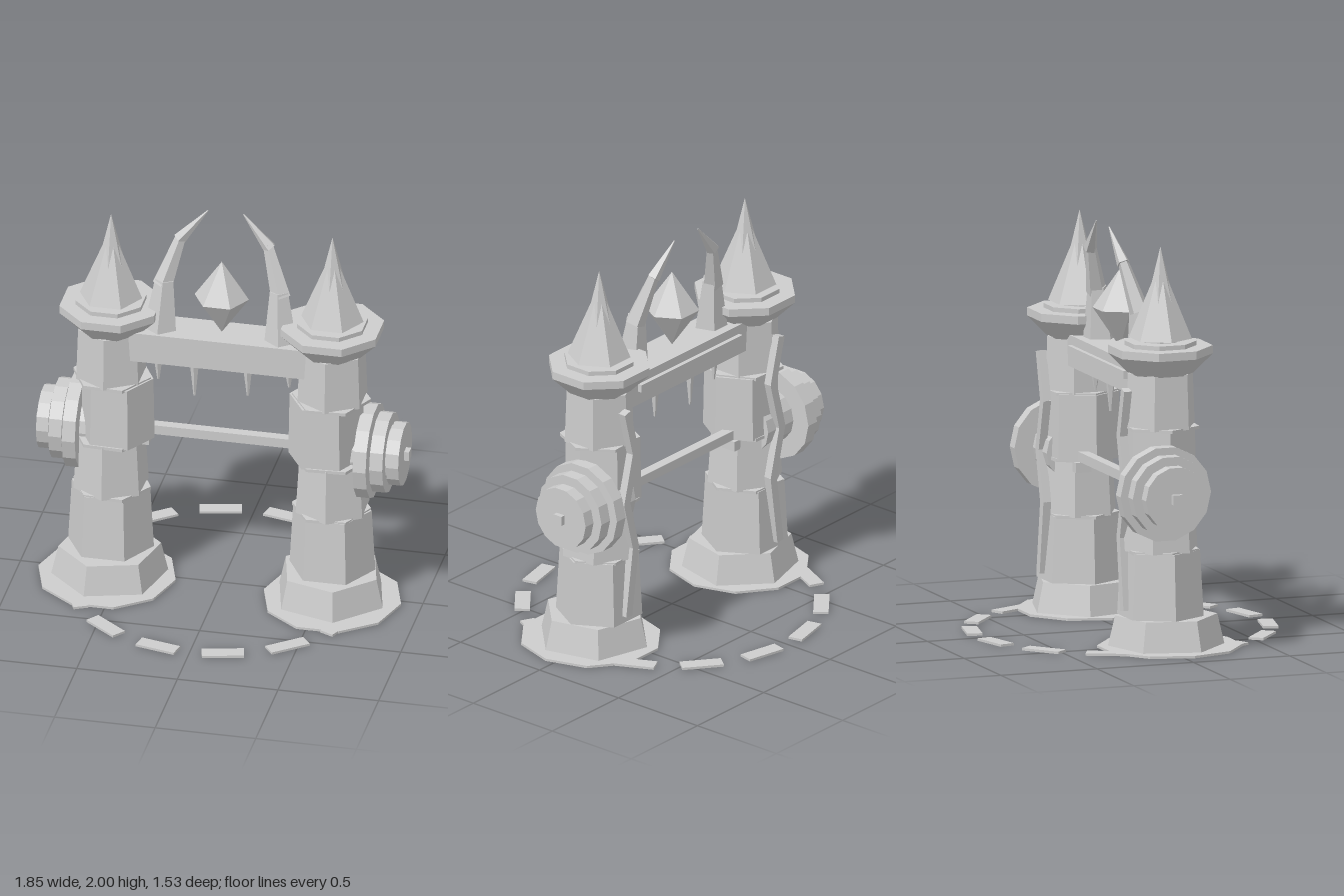
import * as THREE from 'three';

const stone = new THREE.MeshStandardMaterial({ color: 0xcccccc, flatShading: true });
stone.name = 'stone grey';

const rad = THREE.MathUtils.degToRad;

export function createModel() {
  const model = new THREE.Group();
  model.name = 'gate';

  function add(parent, name, geometry, x = 0, y = 0, z = 0) {
    const mesh = new THREE.Mesh(geometry, stone);
    mesh.name = name;
    mesh.position.set(x, y, z);
    parent.add(mesh);
    return mesh;
  }

  // Upright prism between two heights; angle is the direction of one corner from +x towards +z
  function prism(parent, name, sides, angle, x, z, y0, r0, y1, r1) {
    const g = new THREE.CylinderGeometry(r1, r0, y1 - y0, sides, 1, false, Math.PI / 2 - rad(angle));
    return add(parent, name, g, x, (y0 + y1) / 2, z);
  }

  // Tapered piece running from point a to point b
  function taper(parent, name, a, b, ra, rb, sides) {
    const from = new THREE.Vector3(...a), to = new THREE.Vector3(...b);
    const dir = to.clone().sub(from);
    const mesh = add(parent, name, new THREE.CylinderGeometry(rb, ra, dir.length(), sides));
    mesh.position.copy(from).add(to).multiplyScalar(0.5);
    mesh.quaternion.setFromUnitVectors(new THREE.Vector3(0, 1, 0), dir.normalize());
    return mesh;
  }

  for (const s of [-1, 1]) {
    const cx = s * 0.55;
    const turn = a => (s < 0 ? a : 180 - a);
    const tower = new THREE.Group();
    tower.name = s > 0 ? 'leftTower' : 'rightTower';
    model.add(tower);

    // Ground slab and flared foot
    prism(tower, 'groundDisc', 10, 0, s * 0.56, 0.045, 0, 0.355, 0.012, 0.355).scale.x = 0.96;
    prism(tower, 'foot', 6, turn(104), cx, 0.03, 0.01, 0.285, 0.16, 0.25);

    // Stacked shaft blocks, each turned against the next
    const blocks = [
      [0, 0, 0.16, 0.213, 0.485, 0.195],
      [32, 0, 0.485, 0.19, 0.765, 0.172],
      [2, 0.03, 0.765, 0.188, 1.09, 0.182],
      [30, 0, 1.09, 0.178, 1.36, 0.168],
    ];
    for (const [a, inward, y0, r0, y1, r1] of blocks) {
      prism(tower, 'shaftBlock', 6, turn(a), cx - s * inward, 0, y0, r0, y1, r1);
    }
    for (const y of [0.485, 0.765, 1.09]) {
      prism(tower, 'collar', 6, turn(3), cx - s * 0.005, 0, y - 0.008, 0.195, y + 0.008, 0.195);
    }

    // Eight-sided capital
    prism(tower, 'capital', 8, 22.5, cx, 0, 1.355, 0.16, 1.45, 0.255);
    prism(tower, 'capitalRim', 8, 22.5, cx, 0, 1.45, 0.255, 1.49, 0.255);
    prism(tower, 'capitalTop', 8, 22.5, cx, 0, 1.49, 0.175, 1.512, 0.175);
    prism(tower, 'spireNeck', 8, 22.5, cx, 0, 1.51, 0.1, 1.53, 0.1);

    // Spire: a wide cone with a slender one set between its ridges
    prism(tower, 'spireSkirt', 6, 0, cx, 0, 1.525, 0.155, 1.9, 0);
    prism(tower, 'spirePoint', 6, 30, cx, 0, 1.62, 0.092, 1.975, 0);

    // Stepped round boss on the outer side
    const discs = [
      [0.235, 0.69, 0.755],
      [0.2, 0.765, 0.83],
      [0.158, 0.84, 0.9],
      [0.14, 0.5, 0.88],
    ];
    for (const [r, x0, x1] of discs) {
      const g = new THREE.CylinderGeometry(r, r, x1 - x0, 14).rotateZ(Math.PI / 2);
      add(tower, 'bossDisc', g, s * (x0 + x1) / 2, 0.79, -0.05);
    }
    add(tower, 'axleBracket', new THREE.BoxGeometry(0.06, 0.05, 0.08), s * 0.395, 0.735, -0.05);

    // Zigzag strip up the back
    const zig = [[0.03, 1.28], [-0.03, 1.05], [0.035, 0.8], [-0.03, 0.55], [0.02, 0.2]];
    for (let i = 0; i < zig.length - 1; i++) {
      const [xa, ya] = zig[i], [xb, yb] = zig[i + 1];
      const len = Math.hypot(xb - xa, yb - ya) + 0.01;
      const strip = add(tower, 'zigzagStrip', new THREE.BoxGeometry(0.045, len, 0.04),
        cx + s * (xa + xb) / 2, (ya + yb) / 2, -0.188);
      strip.rotation.z = Math.atan2(s * (xa - xb), yb - ya) + Math.PI;
    }

    // Curved horn in three tapering lengths
    const horn = new THREE.Group();
    horn.name = 'horn';
    model.add(horn);
    taper(horn, 'hornRoot', [s * 0.3, 1.38, 0.01], [s * 0.285, 1.64, -0.01], 0.085, 0.048, 5);
    taper(horn, 'hornMiddle', [s * 0.295, 1.61, -0.01], [s * 0.215, 1.86, -0.07], 0.052, 0.026, 5);
    taper(horn, 'hornTip', [s * 0.225, 1.84, -0.068], [s * 0.088, 2.0, -0.09], 0.034, 0.003, 5);
  }

  // Lintel, its rear rail and the axle between the bosses
  add(model, 'lintel', new THREE.BoxGeometry(0.9, 0.155, 0.21), 0, 1.3075, 0);
  add(model, 'rearRail', new THREE.BoxGeometry(0.76, 0.04, 0.03), 0, 1.32, -0.112);
  add(model, 'axle', new THREE.BoxGeometry(1.85, 0.048, 0.05), 0, 0.79, -0.05);

  // Hanging spikes
  for (const [x, tip] of [[-0.315, 1.09], [-0.135, 1.02], [0.13, 1.05], [0.335, 1.12]]) {
    prism(model, 'hangingSpike', 5, 90, x, 0, tip, 0.006, 1.235, 0.027);
  }

  // Floating crystal
  prism(model, 'crystalTop', 6, 0, 0, 0, 1.58, 0.135, 1.775, 0);
  prism(model, 'crystalBottom', 6, 0, 0, 0, 1.387, 0, 1.58, 0.135);

  // Ring of paving stones
  for (let i = 0; i < 14; i++) {
    const a = (i / 14) * Math.PI * 2;
    const paver = add(model, 'pavingStone', new THREE.BoxGeometry(0.075, 0.012, 0.205),
      0.725 * Math.cos(a), 0.006, 0.725 * Math.sin(a));
    paver.rotation.y = -a;
  }

  return model;
}
